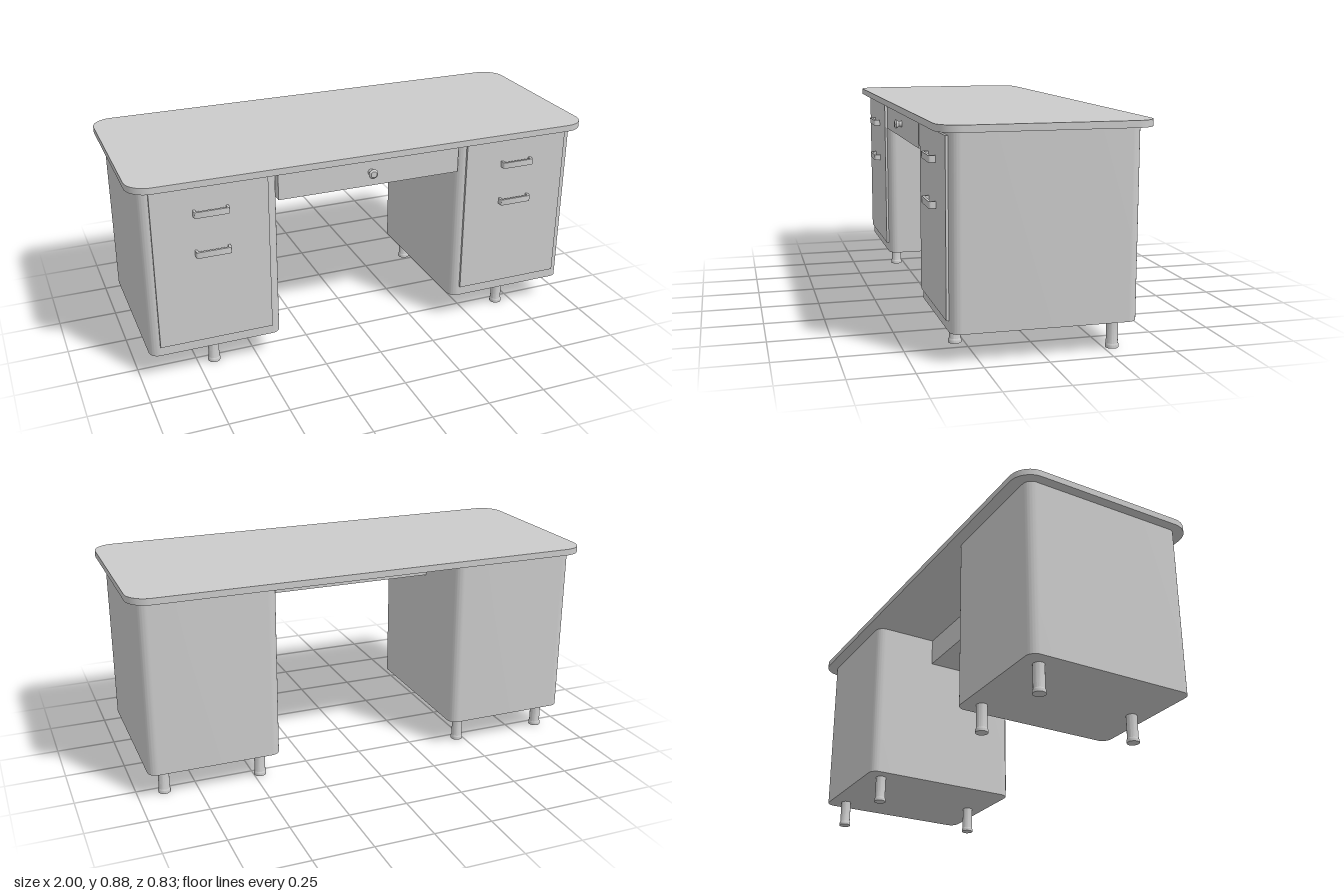
import * as THREE from 'three';
import { toCreasedNormals } from 'three/addons/utils/BufferGeometryUtils.js';

const material = new THREE.MeshStandardMaterial({ color: 0xcccccc });

function add(parent, name, geometry, x = 0, y = 0, z = 0) {
  const mesh = new THREE.Mesh(geometry, material);
  mesh.name = name;
  mesh.position.set(x, y, z);
  parent.add(mesh);
  return mesh;
}

// Upright slab with rounded vertical edges, resting on y = 0
function roundedSlab(width, height, depth, radius) {
  const w = width / 2, d = depth / 2, r = radius;
  const s = new THREE.Shape();
  s.absarc(w - r, d - r, r, 0, Math.PI / 2);
  s.absarc(-w + r, d - r, r, Math.PI / 2, Math.PI);
  s.absarc(-w + r, -d + r, r, Math.PI, Math.PI * 1.5);
  s.absarc(w - r, -d + r, r, Math.PI * 1.5, Math.PI * 2);
  s.closePath();
  return slabFromShape(s, height, 6);
}

// Extrudes a plan outline (x, z) upwards from y = 0
function slabFromShape(shape, height, curveSegments) {
  const g = new THREE.ExtrudeGeometry(shape, { depth: height, bevelEnabled: false, curveSegments });
  g.rotateX(Math.PI / 2).translate(0, height, 0);
  return toCreasedNormals(g, 0.6);
}

// Bracket pull: a bar with rounded ends returning to the drawer front
function handleGeometry() {
  const w = 0.072, depth = 0.028, t = 0.01, r = 0.01;
  const s = new THREE.Shape();
  s.moveTo(-w, 0);
  s.lineTo(-w + t, 0);
  s.lineTo(-w + t, depth - t);
  s.lineTo(w - t, depth - t);
  s.lineTo(w - t, 0);
  s.lineTo(w, 0);
  s.lineTo(w, depth - r);
  s.quadraticCurveTo(w, depth, w - r, depth);
  s.lineTo(-w + r, depth);
  s.quadraticCurveTo(-w, depth, -w, depth - r);
  s.closePath();
  return slabFromShape(s, 0.026, 4);
}

function lathe(points, segments) {
  const g = new THREE.LatheGeometry(points.map(([r, y]) => new THREE.Vector2(r, y)), segments);
  return toCreasedNormals(g, 0.6);
}

export function createModel() {
  const desk = new THREE.Group();
  desk.name = 'desk';

  add(desk, 'desktop', roundedSlab(2, 0.027, 0.826, 0.09), 0, 0.855, 0);

  const cabinet = roundedSlab(0.56, 0.738, 0.724, 0.04);
  const handle = handleGeometry();
  const leg = lathe([[0, 0], [0.026, 0], [0.026, 0.013], [0.023, 0.018], [0.023, 0.118]], 20);

  for (const side of [-1, 1]) {
    const pedestal = new THREE.Group();
    pedestal.name = side > 0 ? 'leftPedestal' : 'rightPedestal';
    pedestal.position.x = side * 0.68;
    desk.add(pedestal);

    add(pedestal, 'cabinet', cabinet, 0, 0.117, 0);

    // Shallow upper drawer and deep file drawer, meeting at a fine seam
    for (const [name, bottom, top, handleY] of [
      ['fileDrawerFront', 0.16, 0.65, 0.547],
      ['upperDrawerFront', 0.65, 0.838, 0.72],
    ]) {
      add(pedestal, name, new THREE.BoxGeometry(0.476, top - bottom, 0.02), 0, (top + bottom) / 2, 0.362);
      add(pedestal, 'drawerHandle', handle, 0, handleY, 0.372);
    }

    // One leg at the front centre, two at the back corners
    for (const [x, z] of [[0, 0.287], [-0.207, -0.285], [0.207, -0.285]]) {
      add(pedestal, 'leg', leg, x, 0, z);
    }
  }

  // Pencil drawer between the pedestals
  add(desk, 'centreDrawer', new THREE.BoxGeometry(0.8, 0.127, 0.44), 0, 0.7915, 0.148);

  // Flared knob, turned about z
  const knob = lathe([[0.014, 0], [0.011, 0.012], [0.021, 0.025], [0.013, 0.032], [0, 0.032]], 20);
  knob.rotateX(Math.PI / 2);
  add(desk, 'drawerKnob', knob, 0, 0.788, 0.368);

  return desk;
}
